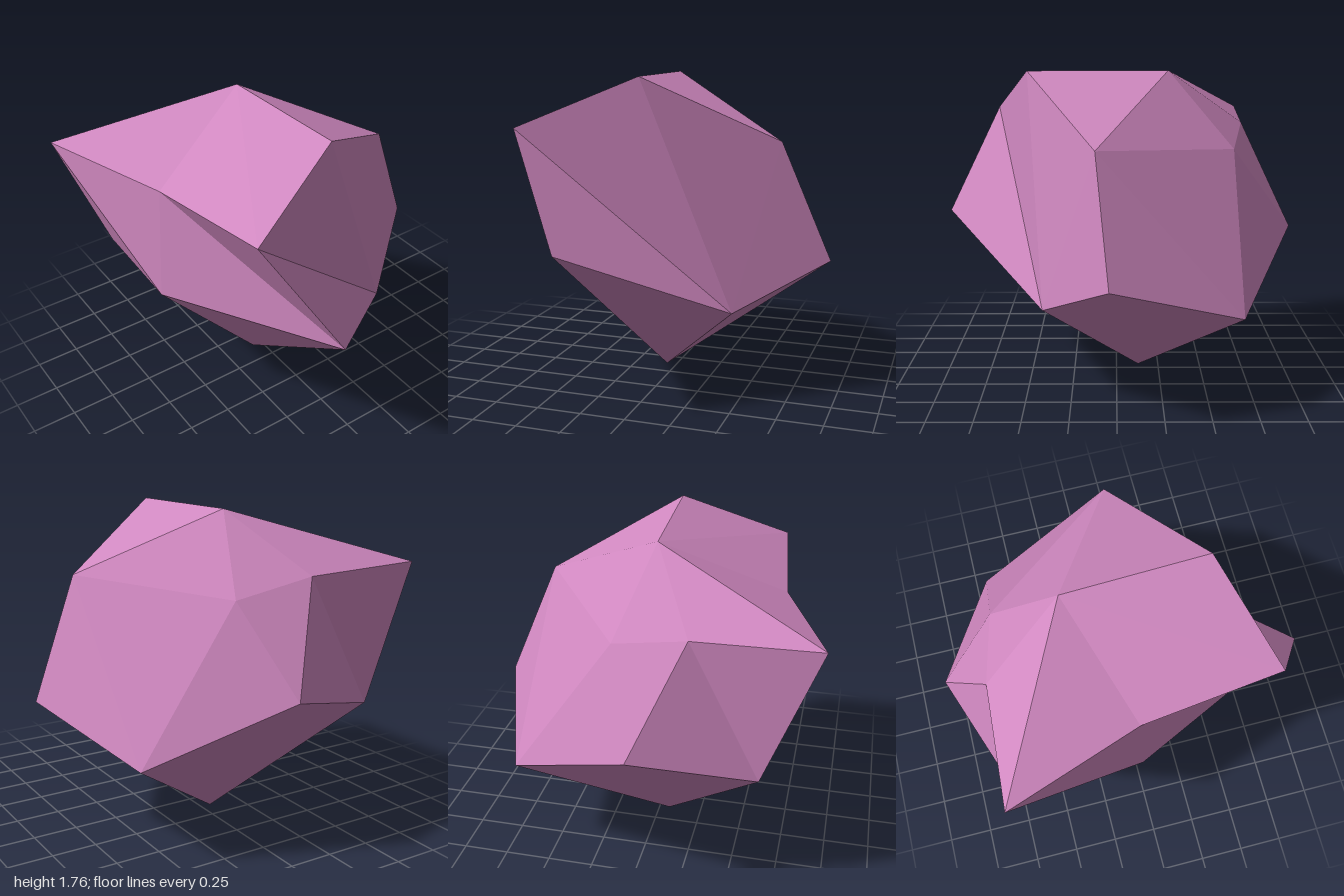
import * as THREE from 'three';

// Corners of the faceted rock, named by where they sit
const corners = {
  base: [-0.06, 0, -0.13],
  // lower girdle
  chin: [-0.27, 0.91, 1.0],
  lowFront: [0.48, 0.52, 0.4],
  side: [0.94, 0.76, 0.04],
  lowBack: [0.69, 0.54, -0.66],
  tail: [-0.02, 0.87, -1.0],
  heel: [-0.655, 0.71, -0.77],
  flank: [-0.73, 0.8, -0.02],
  // upper girdle
  brow: [-0.6, 1.5, 0.73],
  shoulder: [0.67, 1.41, 0.11],
  nape: [0.13, 1.34, -0.65],
  notch: [-0.28, 1.44, -0.74],
  horn: [-0.94, 1.47, -0.78],
  dent: [-0.68, 1.44, -0.04],
  // ridge
  ridgeFront: [0, 1.76, 0.5],
  ridgeBack: [-0.03, 1.76, -0.29],
};

const facets = [
  // crown
  'ridgeFront shoulder ridgeBack', 'ridgeBack shoulder nape',
  'ridgeBack notch nape', 'horn notch ridgeBack', 'horn ridgeBack dent',
  'ridgeBack dent brow', 'ridgeBack brow ridgeFront',
  // sides
  'shoulder lowBack nape', 'shoulder side lowBack', 'tail lowBack nape',
  'notch tail nape', 'notch tail heel', 'horn notch heel', 'horn dent flank',
  'horn flank heel', 'brow dent chin', 'flank dent chin', 'brow chin lowFront',
  'brow lowFront ridgeFront', 'ridgeFront lowFront shoulder', 'shoulder lowFront side',
];

// underside fan around the base point
const girdle = ['chin', 'lowFront', 'side', 'lowBack', 'tail', 'heel', 'flank'];
girdle.forEach((name, i) => facets.push(`${name} ${girdle[(i + 1) % girdle.length]} base`));

function rockGeometry() {
  const core = new THREE.Vector3(0, 0.9, 0);
  const tri = new THREE.Triangle();
  const normal = new THREE.Vector3(), middle = new THREE.Vector3();
  const points = [];
  for (const facet of facets) {
    const [a, b, c] = facet.split(' ').map((n) => new THREE.Vector3(...corners[n]));
    tri.set(a, b, c);
    // turn every facet away from the core
    const outward = tri.getNormal(normal).dot(tri.getMidpoint(middle).sub(core)) > 0;
    points.push(...(outward ? [a, b, c] : [a, c, b]));
  }
  const geometry = new THREE.BufferGeometry().setFromPoints(points);
  geometry.computeVertexNormals();
  return geometry;
}

export function createModel() {
  const group = new THREE.Group();
  group.name = 'facetedRock';
  const pink = new THREE.MeshStandardMaterial({ color: 0xd088c0, flatShading: true });
  pink.name = 'orchid pink';
  const rock = new THREE.Mesh(rockGeometry(), pink);
  rock.name = 'rock';
  group.add(rock);
  return group;
}
